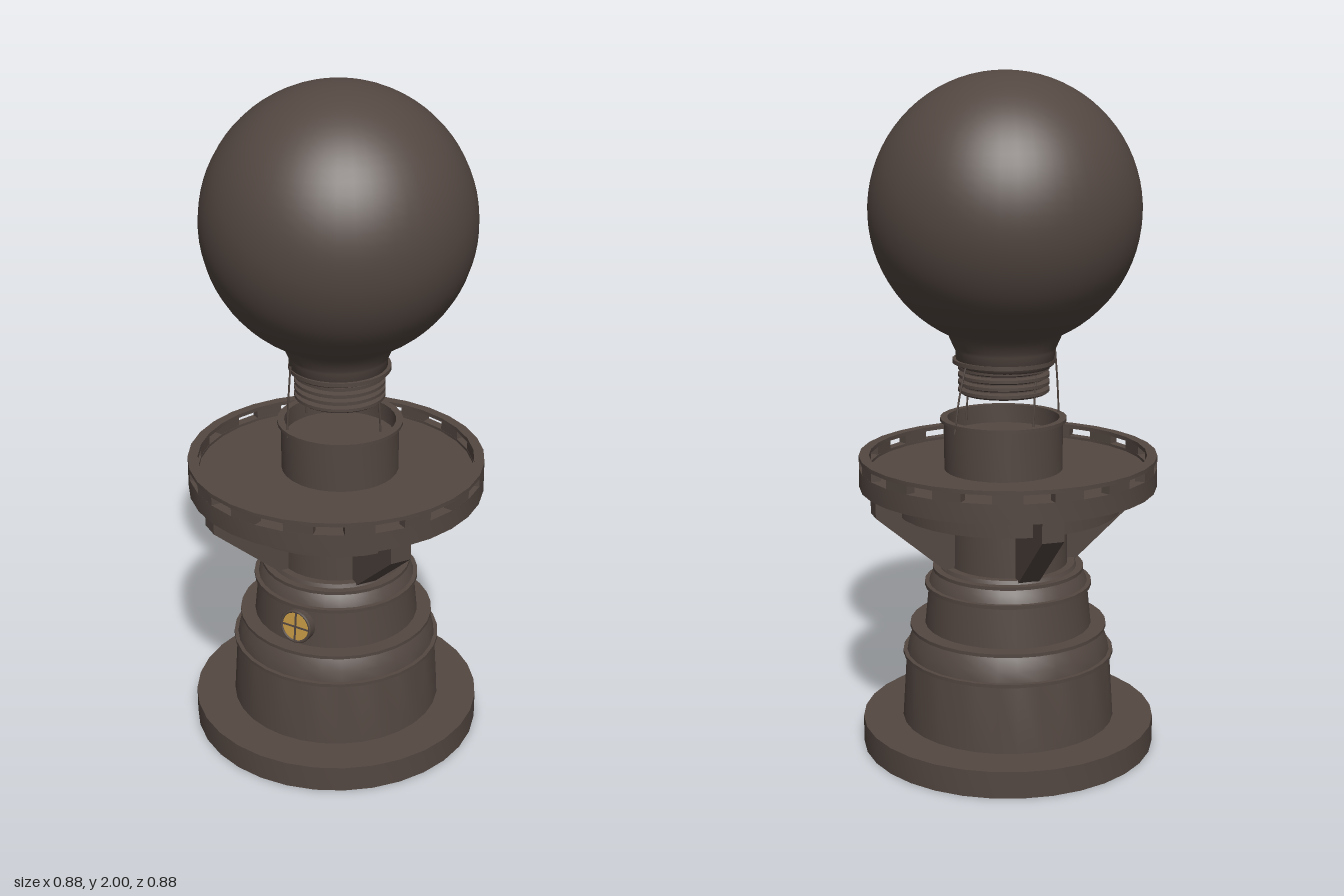
import * as THREE from 'three';
import { toCreasedNormals } from 'three/addons/utils/BufferGeometryUtils.js';

export function createModel() {
  const group = new THREE.Group();
  const metal = new THREE.MeshStandardMaterial({ color: 0x534741 });
  metal.name = 'dark bronze';
  const gold = new THREE.MeshStandardMaterial({ color: 0xc79a45 });
  gold.name = 'amber glass';

  const add = (name, geometry, material = metal, parent = group) => {
    const mesh = new THREE.Mesh(geometry, material);
    mesh.name = name;
    parent.add(mesh);
    return mesh;
  };
  // Turned part from [radius, height] points, bottom to top
  const turn = (name, points, sides = 32, crease = 0.5) => {
    const profile = points.map(([r, y]) => new THREE.Vector2(r, y));
    return add(name, toCreasedNormals(new THREE.LatheGeometry(profile, sides), crease));
  };

  // Foot and stepped tower
  turn('foot', [[0, 0], [0.44, 0], [0.44, 0.08], [0, 0.08]]);
  turn('tower', [
    [0.32, 0.075], [0.307, 0.28], [0.317, 0.28], [0.317, 0.29], [0.305, 0.29],
    [0.298, 0.32], [0.285, 0.35], [0.278, 0.363], [0.295, 0.363], [0.295, 0.373],
    [0.25, 0.373], [0.238, 0.492], [0.25, 0.492], [0.25, 0.503], [0.237, 0.503],
    [0.228, 0.525], [0.216, 0.541], [0.226, 0.541], [0.226, 0.551], [0.205, 0.551],
    [0.2, 0.562], [0.178, 0.562], [0.175, 0.735],
  ]);
  turn('galleryUnderside', [[0, 0.73], [0.335, 0.73], [0.335, 0.805], [0, 0.805]]);

  // Four gallery brackets
  const outline = new THREE.Shape([
    [0.15, 0.555], [0.2, 0.555], [0.41, 0.735], [0.41, 0.802], [0.15, 0.802],
  ].map(([x, y]) => new THREE.Vector2(x, y)));
  const bracketShape = new THREE.ExtrudeGeometry(outline, { depth: 0.064, bevelEnabled: false });
  bracketShape.translate(0, 0, -0.032);
  for (let i = 0; i < 4; i++) {
    add('galleryBracket', bracketShape).rotation.y = -(33 + 90 * i) * Math.PI / 180;
  }

  // Gallery deck with a slotted parapet
  turn('galleryDeck', [
    [0, 0.8], [0.44, 0.8], [0.44, 0.858], [0.41, 0.858], [0.41, 0.85], [0, 0.85],
  ]);
  turn('parapetRail', [
    [0.41, 0.883], [0.44, 0.883], [0.44, 0.895], [0.41, 0.895], [0.41, 0.883],
  ]);
  const postShape = new THREE.BoxGeometry(0.085, 0.027, 0.029);
  for (let i = 0; i < 16; i++) {
    const a = (2 * i + 1.5) * Math.PI / 16 - Math.PI / 32 + Math.PI / 32;
    const post = add('parapetPost', postShape);
    post.position.set(Math.sin(a) * 0.4232, 0.8705, Math.cos(a) * 0.4232);
    post.rotation.y = a;
  }

  // Lamp socket
  turn('socket', [
    [0.175, 0.845], [0.175, 0.995], [0.186, 0.995], [0.186, 1.005], [0.165, 1.005],
    [0.165, 0.95], [0, 0.95],
  ]).position.set(0.005, 0, -0.015);

  // Globe flowing into its neck
  const globe = [[0.13, 1.155], [0.143, 1.165], [0.145, 1.205], [0.15, 1.215]];
  for (let i = 0; i <= 32; i++) {
    const a = THREE.MathUtils.lerp(0.44, Math.PI, i / 32);
    globe.push([Math.max(0, 0.392 * Math.sin(a)), 1.608 - 0.392 * Math.cos(a)]);
  }
  turn('globe', globe, 48, 0.9).position.z = -0.013;

  // Screw thread
  const thread = [[0, 1.078], [0.125, 1.078]];
  for (let i = 0; i < 4; i++) {
    const y = 1.08 + i * 0.022;
    thread.push([0.134, y + 0.004], [0.134, y + 0.013], [0.118, y + 0.017], [0.118, y + 0.02]);
  }
  thread.push([0.15, 1.168], [0.15, 1.18], [0.12, 1.18]);
  turn('screwThread', thread).position.set(0.005, 0, -0.013);

  // Loose wires from thread to socket
  const wires = [
    [-0.08, 0.12, -0.085, 0.135, 1.2], [0.03, -0.15, 0.035, -0.198, 1.18],
    [-0.12, -0.02, -0.127, -0.04, 1.14], [0.12, -0.03, 0.128, -0.04, 1.14],
  ];
  for (const [x0, z0, x1, z1, top] of wires) {
    const path = new THREE.CatmullRomCurve3([
      new THREE.Vector3(x0, top, z0),
      new THREE.Vector3(x0 * 0.4 + x1 * 0.6, (top + 0.99) / 2, z0 * 0.4 + z1 * 0.6),
      new THREE.Vector3(x1, 0.98, z1),
    ]);
    add('wire', new THREE.TubeGeometry(path, 8, 0.003, 5));
  }

  // Round window leaning with the tower wall
  const porthole = new THREE.Group();
  porthole.name = 'porthole';
  porthole.position.set(0.015, 0.435, 0.245);
  porthole.rotation.x = -0.11;
  group.add(porthole);
  const disc = (r, depth) => new THREE.CylinderGeometry(r, r, depth, 24).rotateX(Math.PI / 2);
  add('portholeBacking', disc(0.052, 0.024), metal, porthole);
  add('portholeGlass', disc(0.046, 0.006), gold, porthole).position.z = 0.0125;
  add('portholeFrame', new THREE.TorusGeometry(0.048, 0.005, 6, 24), metal, porthole).position.z = 0.014;
  for (const [w, h] of [[0.005, 0.092], [0.092, 0.005]]) {
    add('portholeBar', new THREE.BoxGeometry(w, h, 0.006), metal, porthole).position.z = 0.0155;
  }
  return group;
}
